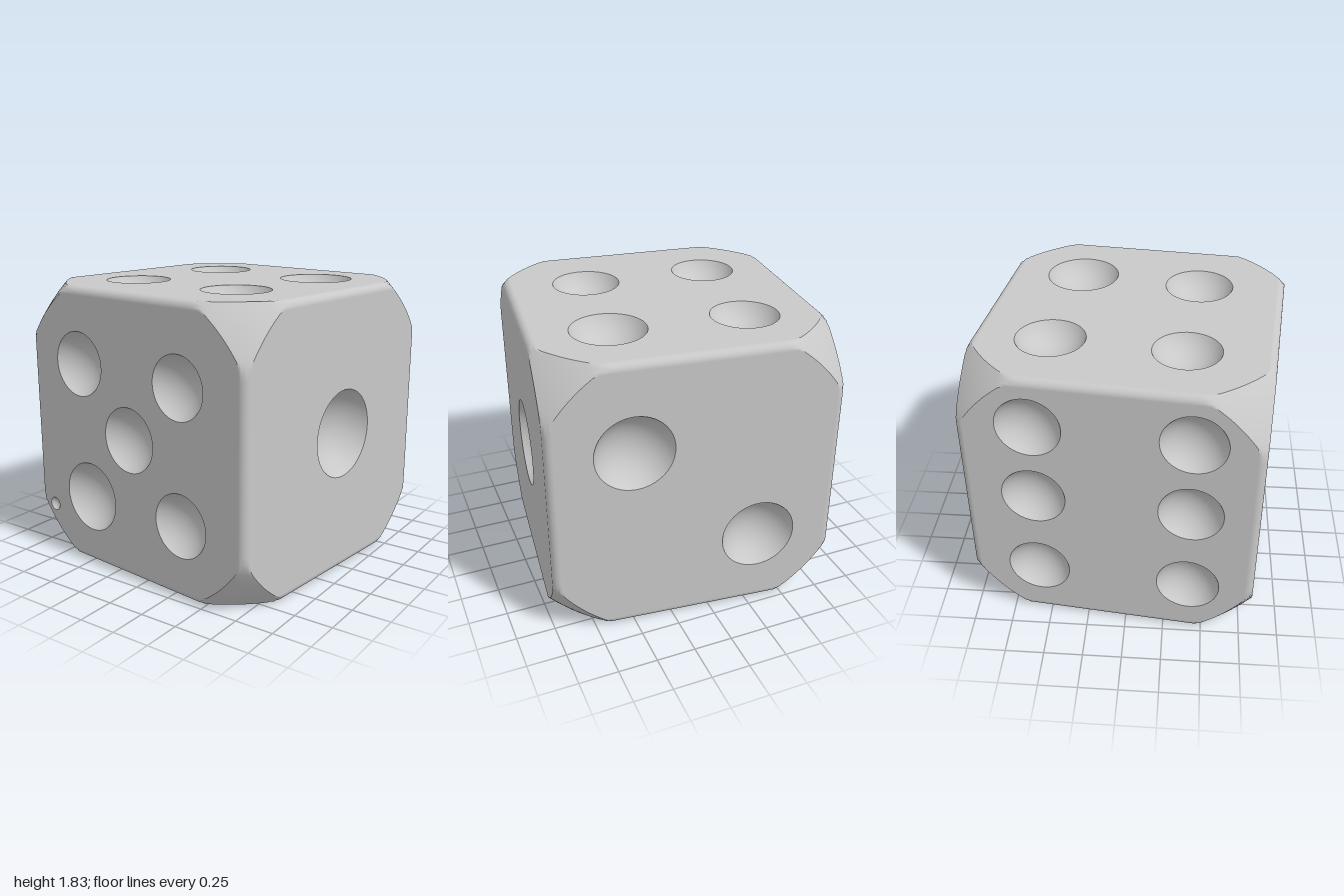
import * as THREE from 'three';
import { mergeGeometries, mergeVertices } from 'three/addons/utils/BufferGeometryUtils.js';

const H = 0.915;      // half side
const BEVEL = 0.05;   // edge rounding
const R = 1.395;      // sphere that trims the corners
const FLAT = H - BEVEL;
const ARC = Math.sqrt(R * R - H * H); // corner arc of each flat face
const STEPS = 160, RINGS = 12;

// Each face: rotation of +z onto its normal, and pips as [u, v, radius]
const faces = [
  { name: 'frontFace', rot: [0, 0, 0], pips: [[-0.455, 0.425, 0.21], [0.405, 0.405, 0.2], [-0.015, 0.005, 0.21],
    [-0.385, -0.455, 0.23], [0.415, -0.445, 0.205], [-0.77, -0.6, 0.045]] }, // last one is a small chip
  { name: 'rightFace', rot: [0, Math.PI / 2, 0], pips: [[0.06, 0.01, 0.285]] },
  { name: 'backFace', rot: [0, Math.PI, 0], pips: [[-0.39, 0.335, 0.245], [0.41, -0.4, 0.24]] },
  { name: 'leftFace', rot: [0, -Math.PI / 2, 0], pips: [-0.47, 0.5].flatMap(
    (u) => [0.59, 0.07, -0.525].map((v) => [u, v, 0.2])) },
  { name: 'topFace', rot: [-Math.PI / 2, 0, 0], pips: [[-0.433, 0.437, 0.215], [0.418, 0.426, 0.235],
    [-0.437, -0.388, 0.21], [0.385, -0.362, 0.22]] },
  { name: 'bottomFace', rot: [Math.PI / 2, 0, 0], pips: [[0.52, -0.52, 0.21], [0, 0, 0.2], [-0.52, 0.52, 0.235]] },
];

// Outline of the flat part of a face: a square with arc-trimmed corners
function outlinePoint(i) {
  const a = (i / STEPS) * Math.PI * 2, c = Math.cos(a), s = Math.sin(a);
  const m = Math.max(Math.abs(c), Math.abs(s));
  const r = Math.min(FLAT / m, ARC);
  return { inner: new THREE.Vector2(c * r, s * r), outer: new THREE.Vector2((c * H) / m, (s * H) / m) };
}

// Pull a point of the plain cube onto the rounded, corner-trimmed body
function fit(p) {
  const lim = new THREE.Vector3(FLAT, FLAT, FLAT);
  const q = p.clone().clamp(lim.clone().negate(), lim);
  const out = q.clone().add(p.clone().sub(q).normalize().multiplyScalar(BEVEL));
  return out.clampLength(0, R);
}

// Band from the flat outline to the cube edges
function rimGeometry() {
  const pos = [], idx = [];
  for (let i = 0; i < STEPS; i++) {
    const { inner, outer } = outlinePoint(i);
    for (let j = 0; j <= RINGS; j++) {
      const p = inner.clone().lerp(outer, j / RINGS);
      pos.push(...fit(new THREE.Vector3(p.x, p.y, H)).toArray());
    }
  }
  const at = (i, j) => (i % STEPS) * (RINGS + 1) + j;
  for (let i = 0; i < STEPS; i++) {
    for (let j = 0; j < RINGS; j++) {
      idx.push(at(i, j), at(i, j + 1), at(i + 1, j + 1), at(i, j), at(i + 1, j + 1), at(i + 1, j));
    }
  }
  const g = new THREE.BufferGeometry();
  g.setAttribute('position', new THREE.Float32BufferAttribute(pos, 3));
  g.setIndex(idx);
  return g;
}

// Flat face with round holes for the pips
function panelGeometry(pips) {
  const shape = new THREE.Shape(Array.from({ length: STEPS }, (_, i) => outlinePoint(i).inner));
  for (const [u, v, r] of pips) {
    shape.holes.push(new THREE.Path().absarc(u, v, r, 0, Math.PI * 2, true));
  }
  return new THREE.ShapeGeometry(shape, 24);
}

// Hollow spherical cap, opening towards +z
function bowlGeometry(r) {
  const d = r * 0.62, rad = (r * r + d * d) / (2 * d);
  const a = Math.asin(r / rad), pts = [];
  for (let i = 0; i <= 14; i++) {
    const t = a * (1 - i / 14);
    pts.push(new THREE.Vector2(Math.sin(t) * rad, rad - d - Math.cos(t) * rad));
  }
  return new THREE.LatheGeometry(pts, 48).rotateX(Math.PI / 2);
}

export function createModel() {
  const grey = new THREE.MeshStandardMaterial({ color: 0xc8c8c8 });
  grey.name = 'light grey';
  const model = new THREE.Group();
  model.name = 'die';

  const rims = [];
  for (const { name, rot, pips } of faces) {
    const face = new THREE.Group();
    face.name = name;
    face.rotation.set(...rot);
    face.updateMatrix();
    rims.push(rimGeometry().applyMatrix4(face.matrix));

    const panel = new THREE.Mesh(panelGeometry(pips), grey);
    panel.name = 'flatPanel';
    panel.position.z = H;
    face.add(panel);
    for (const [u, v, r] of pips) {
      const pip = new THREE.Mesh(bowlGeometry(r), grey);
      pip.name = r < 0.1 ? 'chip' : 'pip';
      pip.position.set(u, v, H);
      face.add(pip);
    }
    model.add(face);
  }

  // Rounded edges and trimmed corners as one smooth shell
  const shell = mergeVertices(mergeGeometries(rims), 1e-4);
  shell.computeVertexNormals();
  const edges = new THREE.Mesh(shell, grey);
  edges.name = 'roundedEdges';
  model.add(edges);

  // Slight turn on its base, standing on the ground
  model.rotation.y = -0.105;
  model.position.y = H;
  const root = new THREE.Group();
  root.name = 'model';
  root.add(model);
  return root;
}
